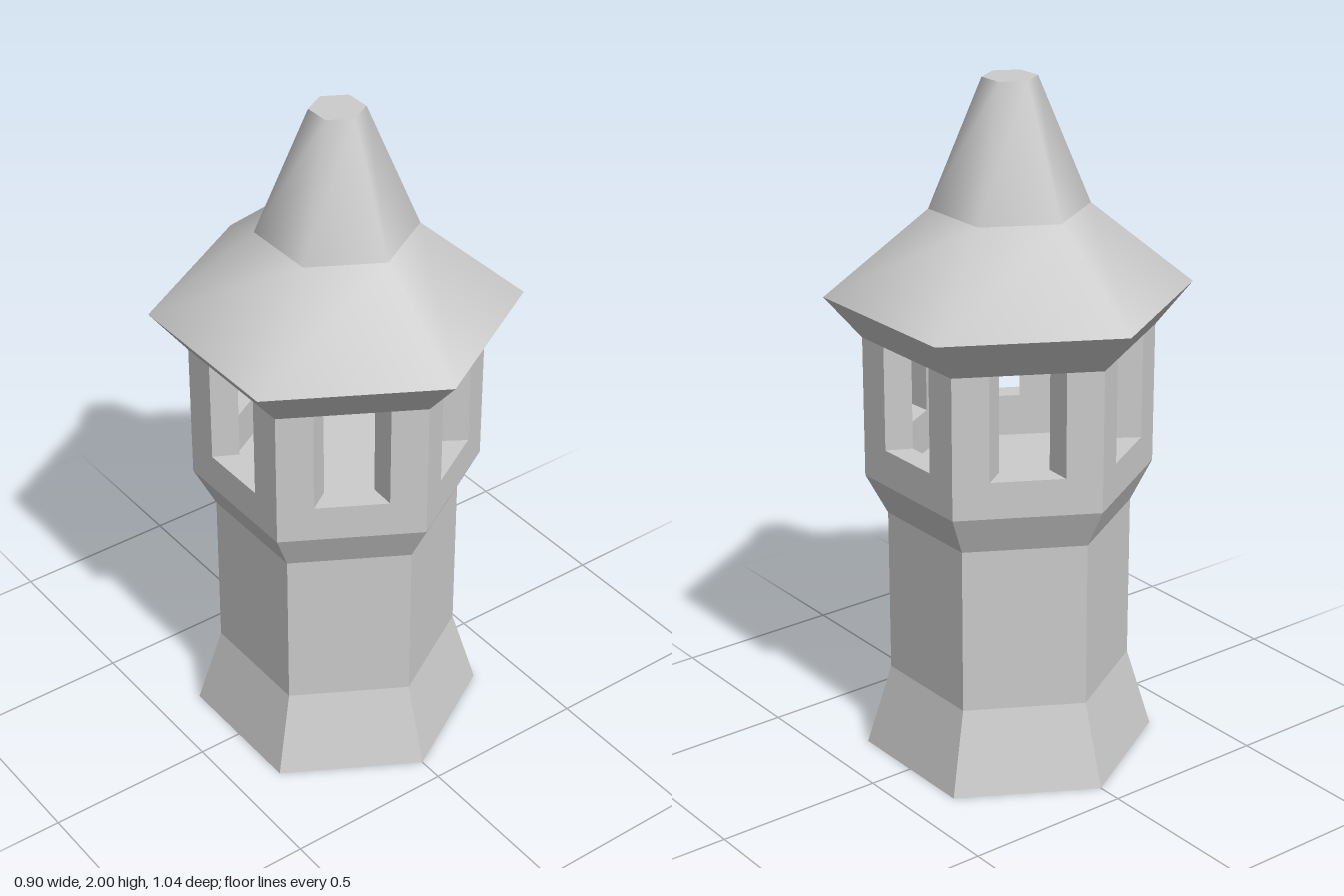
import * as THREE from 'three';

const SIDES = 6;
const WALL_R = 0.415;   // outer corner radius of the lantern room
const INNER_R = 0.335;  // inner corner radius
const SILL = 0.965, EAVES = 1.272;

const flat = new THREE.MeshStandardMaterial({ color: 0xcccccc, flatShading: true });
const smooth = new THREE.MeshStandardMaterial({ color: 0xcccccc });

function add(parent, name, geometry, material) {
  const mesh = new THREE.Mesh(geometry, material);
  mesh.name = name;
  parent.add(mesh);
  return mesh;
}

// Point on the wall next to the +z corner: half = distance from the face centre
function facePoint(radius, half, side) {
  const a = Math.PI / 6, apothem = radius * Math.cos(a);
  const x = apothem * Math.sin(a) - half * Math.cos(a);
  const z = apothem * Math.cos(a) + half * Math.sin(a);
  return new THREE.Vector2(side * x, -z);
}

// Corner post between two splayed windows
function postGeometry() {
  const shape = new THREE.Shape([
    new THREE.Vector2(0, -WALL_R),
    facePoint(WALL_R, 0.105, 1),
    facePoint(INNER_R, 0.07, 1),
    new THREE.Vector2(0, -INNER_R),
    facePoint(INNER_R, 0.07, -1),
    facePoint(WALL_R, 0.105, -1),
  ]);
  const geo = new THREE.ExtrudeGeometry(shape, { depth: EAVES - SILL, bevelEnabled: false });
  return geo.rotateX(-Math.PI / 2).translate(0, SILL, 0);
}

// Splayed sill: fills the parapet top between outer and inner wall via the lathe profile
function towerGeometry() {
  const profile = [
    [0, 0], [0.425, 0], [0.352, 0.245], [0.352, 0.737], [WALL_R, 0.857],
    [WALL_R, SILL], [INNER_R, SILL], [INNER_R, 0.84], [0, 0.84],
  ].map(([r, y]) => new THREE.Vector2(r, y));
  return new THREE.LatheGeometry(profile, SIDES);
}

export function createModel() {
  const model = new THREE.Group();
  model.name = 'tower';

  // Flared base, shaft, parapet and sunken room floor
  add(model, 'towerBody', towerGeometry(), flat);

  // Window posts
  const posts = new THREE.Group();
  posts.name = 'windowPosts';
  model.add(posts);
  const post = postGeometry();
  for (let i = 0; i < SIDES; i++) {
    add(posts, 'cornerPost', post, flat).rotation.y = (i * Math.PI * 2) / SIDES;
  }

  // Roof bands, smooth around and creased between
  const roof = new THREE.Group();
  roof.name = 'roof';
  model.add(roof);
  const bands = [
    ['soffit', WALL_R, EAVES, 0.52, 1.395],
    ['lowerRoof', 0.52, 1.395, 0.226, 1.637],
    ['spire', 0.226, 1.637, 0.077, 2],
  ];
  for (const [name, r0, y0, r1, y1] of bands) {
    const geo = new THREE.CylinderGeometry(r1, r0, y1 - y0, SIDES, 1, true);
    add(roof, name, geo.translate(0, (y0 + y1) / 2, 0), smooth);
  }

  // Ceiling and flat spire tip
  const disc = (r) => new THREE.CircleGeometry(r, SIDES, Math.PI / 2);
  add(roof, 'ceiling', disc(WALL_R).rotateX(Math.PI / 2).translate(0, EAVES, 0), flat);
  add(roof, 'spireTip', disc(0.077).rotateX(-Math.PI / 2).translate(0, 2, 0), flat);

  return model;
}
